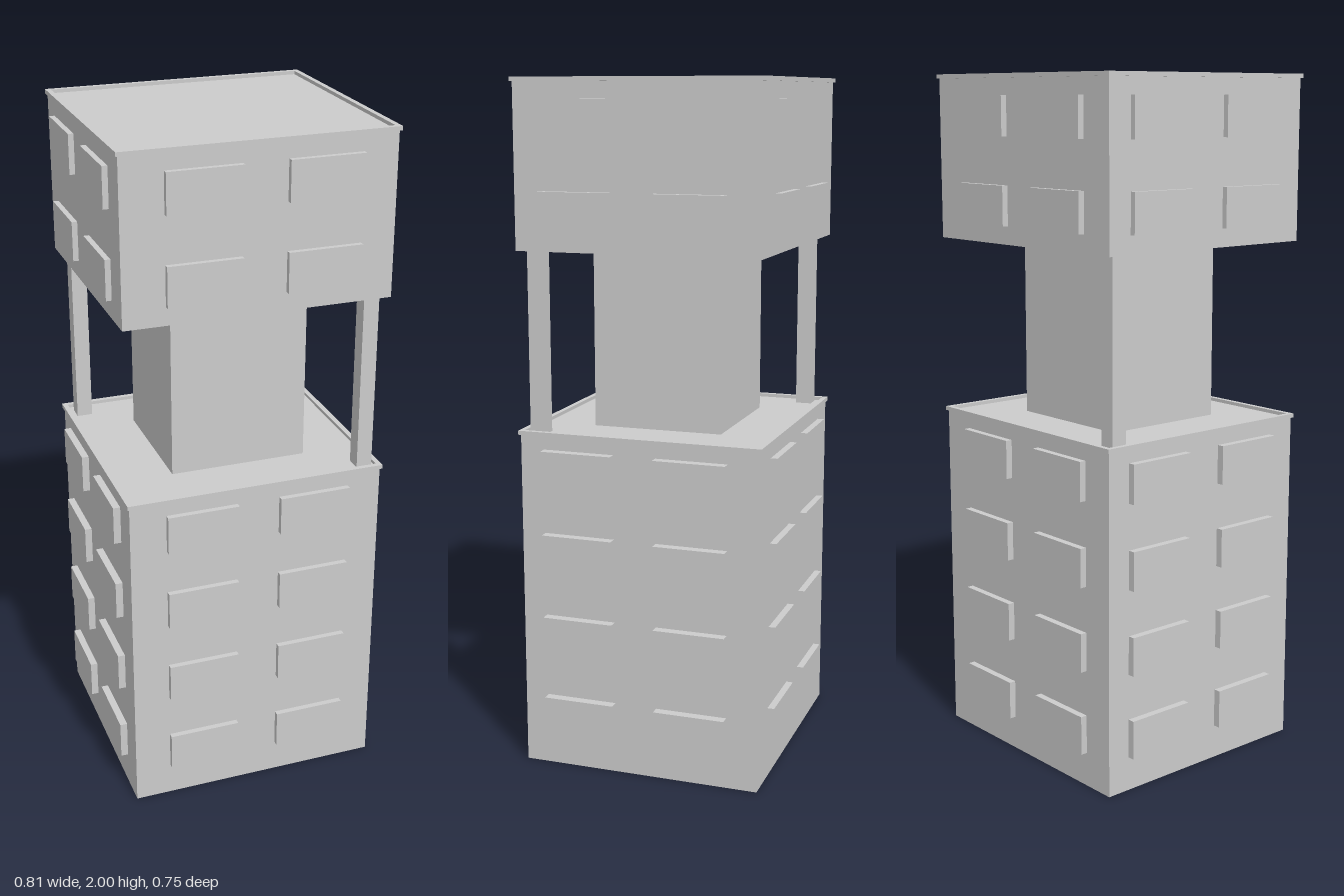
import * as THREE from 'three';

const material = new THREE.MeshStandardMaterial({ color: 0xcccccc, flatShading: true });

// Box given by its lower and upper limits on each axis
function box(name, x0, x1, y0, y1, z0, z1) {
  const mesh = new THREE.Mesh(new THREE.BoxGeometry(x1 - x0, y1 - y0, z1 - z0), material);
  mesh.name = name;
  mesh.position.set((x0 + x1) / 2, (y0 + y1) / 2, (z0 + z1) / 2);
  return mesh;
}

// Building block: solid body, thin roof rim and two windows per floor on every side
function block(name, { x0, x1, y0, y1, z0, z1, floors, frontShift }) {
  const group = new THREE.Group();
  group.name = name;
  const deck = y1 - 0.01, lip = 0.006, rim = 0.009;
  group.add(box('body', x0, x1, y0, deck, z0, z1));

  // Roof rim along the four edges
  group.add(
    box('rimLeft', x1 - rim, x1 + lip, deck - 0.002, y1, z0 - lip, z1 + lip),
    box('rimRight', x0 - lip, x0 + rim, deck - 0.002, y1, z0 - lip, z1 + lip),
    box('rimFront', x0 + rim, x1 - rim, deck - 0.002, y1, z1 - rim, z1 + lip),
    box('rimBack', x0 + rim, x1 - rim, deck - 0.002, y1, z0 - lip, z0 + rim)
  );

  // Projecting window panels
  const half = 0.106, height = 0.114;
  for (const y of floors) {
    for (const c of [-0.169, 0.169]) {
      const f = c + frontShift, b = c - 0.008, s = c + 0.012;
      group.add(
        box('windowFront', f - half, f + half, y, y + height, z1 - 0.005, 0.375),
        box('windowBack', b - half, b + half, y, y + height, -0.375, z0 + 0.005),
        box('windowLeft', x1 - 0.005, 0.403, y, y + height, s - half, s + half),
        box('windowRight', -0.403, x0 + 0.005, y, y + height, b - half, b + half)
      );
    }
  }
  return group;
}

export function createModel() {
  const model = new THREE.Group();
  model.name = 'tower';

  // Lower four floors
  model.add(block('lowerBlock', {
    x0: -0.382, x1: 0.375, y0: 0, y1: 1.01, z0: -0.355, z1: 0.358,
    floors: [0.1, 0.348, 0.597, 0.845], frontShift: 0
  }));

  // Upper two floors
  model.add(block('upperBlock', {
    x0: -0.387, x1: 0.381, y0: 1.525, y1: 2, z0: -0.357, z1: 0.359,
    floors: [1.578, 1.827], frontShift: 0.008
  }));

  // Central core and the two corner columns in the open storey
  model.add(
    box('core', -0.205, 0.2, 0.99, 1.535, -0.188, 0.198),
    box('columnFrontLeft', 0.312, 0.358, 0.99, 1.535, 0.288, 0.335),
    box('columnBackRight', -0.36, -0.314, 0.99, 1.535, -0.324, -0.276)
  );
  return model;
}
